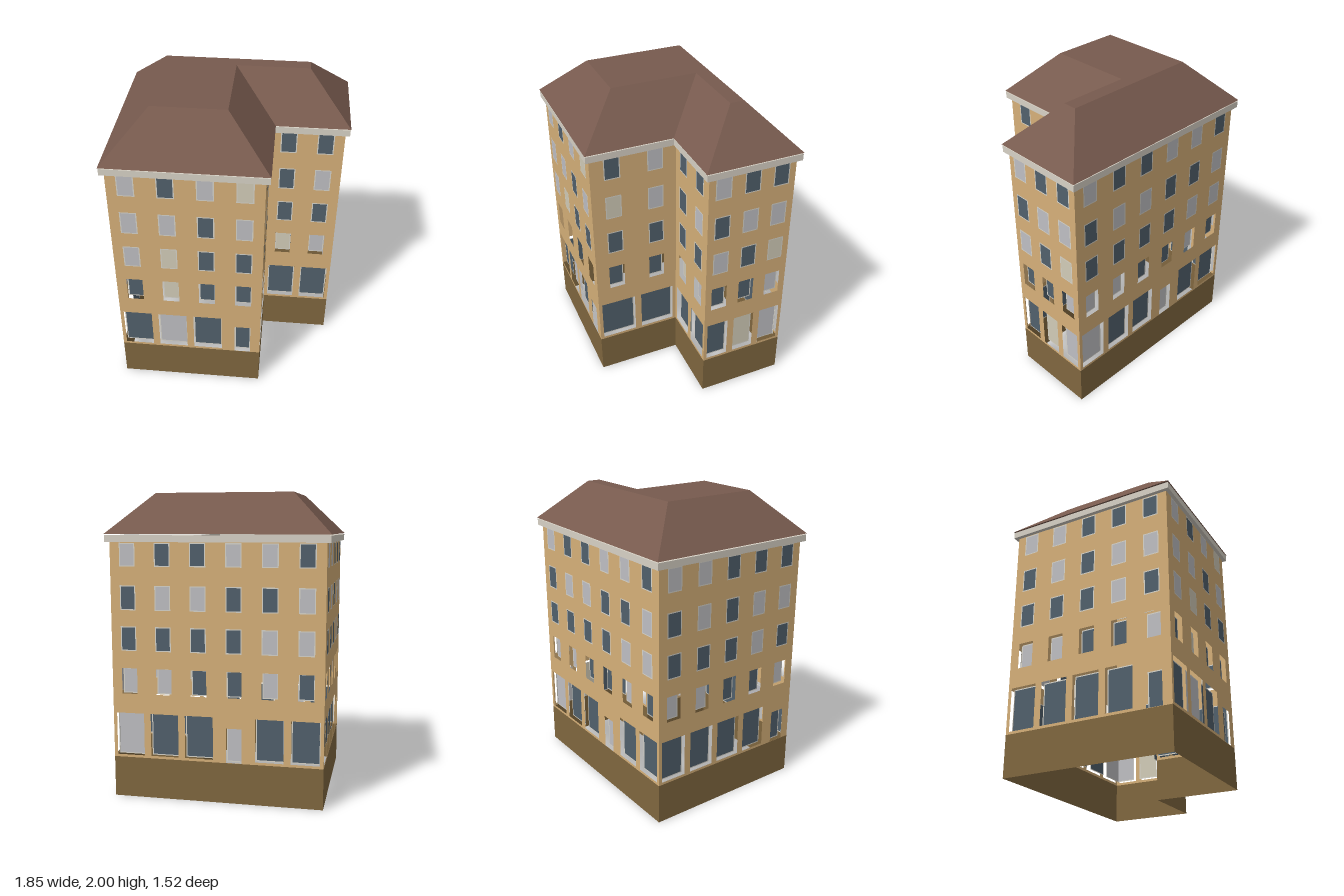
import * as THREE from 'three';

const mat = (name, color) => {
  const m = new THREE.MeshStandardMaterial({ color, side: THREE.DoubleSide });
  m.name = name;
  return m;
};
const M = {
  wall: mat('ochrePlaster', 0xd6b079),
  base: mat('brownPlinth', 0x80673f),
  roof: mat('roofBrown', 0x775a4e),
  cornice: mat('corniceStone', 0xd8d2c6),
  frame: mat('frameWhite', 0xd8d5cb),
  g: mat('darkGlass', 0x51606c),
  l: mat('greyBlind', 0xbfbfc3),
  c: mat('creamBlind', 0xd2ccb8),
};

// L-shaped plan grown by o, in order round the building [x, z]
const plan = (o) => [
  [-0.629 - o, 0.666 + o], [0.3 + o, 0.666 + o], [0.3 + o, 0.11 + o],
  [0.759 + o, 0.11 + o], [0.759 + o, -0.456 - o], [-0.629 - o, -0.456 - o],
];

// Panes per facade, top floor first, left to right from outside; door = column of the door
const FACADES = [
  { name: 'longFrontFacade', rows: ['lglc', 'llgl', 'lcgg', 'gcgg', 'glgg'], door: 3 },
  { name: 'courtSideFacade', rows: ['gl', 'cl', 'gg', 'gg', 'gg'], door: -1 },
  { name: 'courtFrontFacade', rows: ['gg', 'gl', 'gg', 'cl', 'gg'], door: -1 },
  { name: 'leftEndFacade', rows: ['lgg', 'gll', 'lgc', 'ggl', 'gcl'], door: -1 },
  { name: 'backFacade', rows: ['lggllg', 'gllggl', 'ggggll', 'llgglg', 'lgglgg'], door: 3 },
  { name: 'rightEndFacade', rows: ['llggg', 'glgll', 'ggglg', 'llggl', 'ggggg'], door: 4 },
];
// Bottom and top of the windows on each floor, top floor first
const FLOORS = [[1.53, 1.68], [1.25, 1.41], [0.985, 1.145], [0.7, 0.87], [0.287, 0.57]];

const rect = (x0, y0, x1, y1, Type = THREE.Shape) => new Type([
  new THREE.Vector2(x0, y0), new THREE.Vector2(x1, y0),
  new THREE.Vector2(x1, y1), new THREE.Vector2(x0, y1),
]);

function add(parent, name, geometry, material, z = 0) {
  const mesh = new THREE.Mesh(geometry, material);
  mesh.name = name;
  mesh.position.z = z;
  parent.add(mesh);
  return mesh;
}

// Thin frame round a flat pane
function addWindow(parent, name, [x0, y0, x1, y1], pane, z) {
  const b = 0.007;
  const window = new THREE.Group();
  window.name = name;
  const ring = rect(x0, y0, x1, y1);
  ring.holes.push(rect(x0 + b, y0 + b, x1 - b, y1 - b, THREE.Path));
  add(window, 'frame', new THREE.ShapeGeometry(ring), M.frame, z);
  add(window, 'pane', new THREE.ShapeGeometry(rect(x0 + b, y0 + b, x1 - b, y1 - b)), M[pane], z);
  parent.add(window);
}

function buildFacade({ name, rows, door }, p, q) {
  const dx = q[0] - p[0], dz = q[1] - p[1];
  const length = Math.hypot(dx, dz);
  const facade = new THREE.Group();
  facade.name = name;
  facade.position.set(p[0], 0, p[1]);
  facade.rotation.y = Math.atan2(-dz, dx);

  const wall = rect(0, 0.27, length, 1.7);
  const pitch = length / rows[0].length;
  rows.forEach((row, floor) => {
    [...row].forEach((pane, i) => {
      const isDoor = floor === 4 && i === door;
      const half = (floor < 4 || isDoor ? 0.104 : pitch - 0.045) / 2;
      const [y0, y1] = isDoor ? [0.272, 0.5] : FLOORS[floor];
      const x = (i + 0.5) * pitch;
      const box = [x - half, y0, x + half, y1];
      // The two lowest floors have open recesses, the rest are flush
      if (floor > 2) wall.holes.push(rect(...box, THREE.Path));
      addWindow(facade, isDoor ? 'door' : 'window', box, pane, floor > 2 ? -0.03 : 0.003);
    });
  });
  add(facade, 'wall', new THREE.ShapeGeometry(wall), M.wall);
  add(facade, 'plinth', new THREE.ShapeGeometry(rect(0, 0, length, 0.27)), M.base);
  return facade;
}

// Hipped roof shell: sloping sides between two offset plans, flat top
function roofGeometry() {
  const low = plan(0.028), high = plan(-0.238), pos = [];
  const v = ([x, z], y) => pos.push(x, y, z);
  low.forEach((a, i) => {
    const j = (i + 1) % low.length;
    v(a, 1.735); v(low[j], 1.735); v(high[j], 2);
    v(a, 1.735); v(high[j], 2); v(high[i], 2);
  });
  const flat = high.map(([x, z]) => new THREE.Vector2(x, -z));
  for (const face of THREE.ShapeUtils.triangulateShape(flat, [])) {
    face.forEach((k) => v(high[k], 2));
  }
  const geometry = new THREE.BufferGeometry();
  geometry.setAttribute('position', new THREE.Float32BufferAttribute(pos, 3));
  geometry.computeVertexNormals();
  return geometry;
}

// Ring of stone under the eaves
function corniceGeometry() {
  const points = (o) => plan(o).map(([x, z]) => new THREE.Vector2(x, -z));
  const shape = new THREE.Shape(points(0.025));
  shape.holes.push(new THREE.Path(points(-0.002)));
  const geometry = new THREE.ExtrudeGeometry(shape, { depth: 0.043, bevelEnabled: false });
  return geometry.rotateX(-Math.PI / 2).translate(0, 1.685, 0);
}

export function createModel() {
  const model = new THREE.Group();
  model.name = 'cornerApartmentBuilding';
  const building = new THREE.Group();
  building.name = 'building';
  building.rotation.y = -0.5695;
  model.add(building);

  const corners = plan(0);
  FACADES.forEach((f, i) => building.add(buildFacade(f, corners[i], corners[(i + 1) % 6])));
  add(building, 'cornice', corniceGeometry(), M.cornice);
  add(building, 'roof', roofGeometry(), M.roof);
  return model;
}
